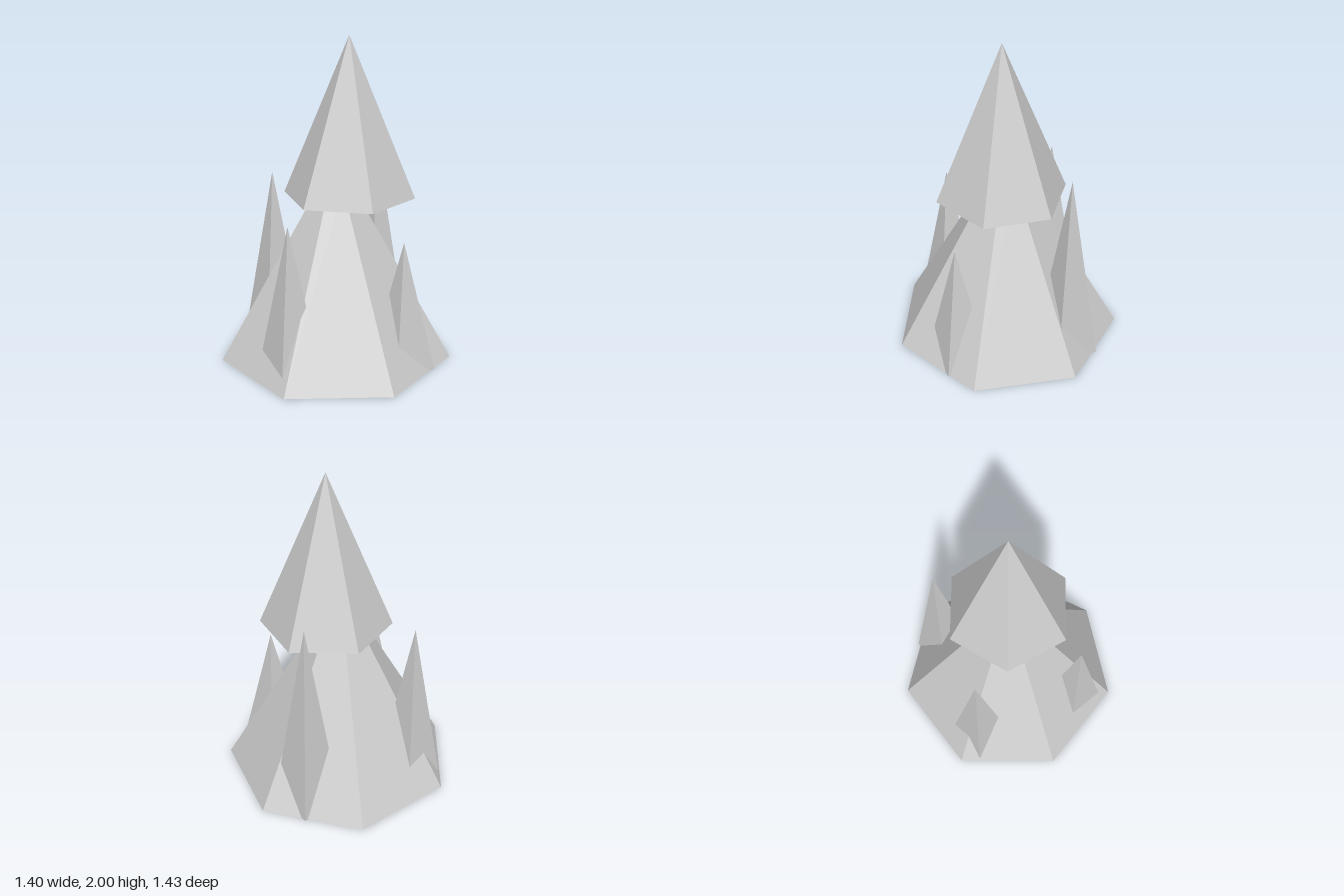
import * as THREE from 'three';

const material = new THREE.MeshStandardMaterial({ color: 0xcccccc, flatShading: true });

// Faceted cone or frustum standing on height y, with its first corner towards +x
function facetedCone(name, topRadius, radius, height, sides, x, y, z) {
  const geometry = new THREE.CylinderGeometry(topRadius, radius, height, sides, 1, false, Math.PI / 2);
  geometry.translate(0, height / 2, 0);
  const mesh = new THREE.Mesh(geometry, material);
  mesh.name = name;
  mesh.position.set(x, y, z);
  return mesh;
}

export function createModel() {
  const group = new THREE.Group();
  group.name = 'rockSpire';

  // Seven-sided tapering base, its narrow top sunk into the peak
  group.add(facetedCone('base', 0.1, 0.734, 1.1, 7, -0.039, 0, 0));

  // Six-sided overhanging peak
  group.add(facetedCone('peak', 0, 0.407, 0.97, 6, 0.045, 1.03, 0));

  // Four-sided shards growing out of the base: x, z, height
  const shards = new THREE.Group();
  shards.name = 'shards';
  [
    [-0.23, 0.45, 0.955],
    [0.15, -0.45, 1.24],
    [-0.49, -0.19, 1.1],
    [0.413, 0.19, 0.81],
  ].forEach(([x, z, height], i) => {
    shards.add(facetedCone(`shard${i + 1}`, 0, 0.204, height, 4, x, 0, z));
  });
  group.add(shards);

  return group;
}
